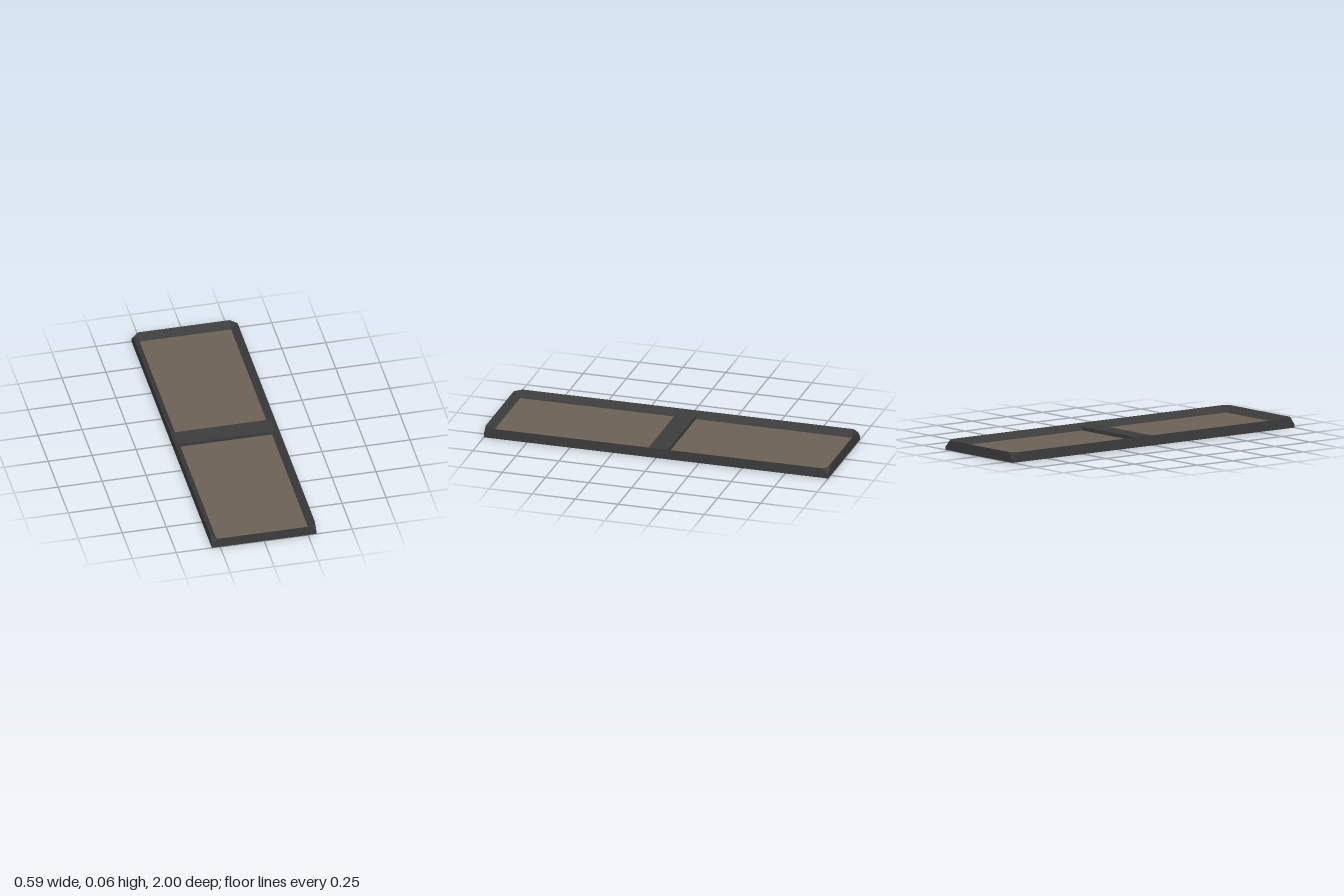
import * as THREE from 'three';

const W = 0.297, L = 1, H = 0.057; // half width, half length, rim height
const C = 0.037;                   // bevel size, also used for the cut corners

export function createModel() {
  const group = new THREE.Group();
  group.name = 'tray';
  const charcoal = new THREE.MeshStandardMaterial({ color: 0x3c3c3c });
  charcoal.name = 'charcoal';
  const brown = new THREE.MeshStandardMaterial({ color: 0x6b6056 });
  brown.name = 'brown';

  // Points of one corner, mirrored by the signs sx and sz
  const corner = (sx, sz) => {
    const p = (x, y, z) => [sx * x, y, sz * z];
    return {
      base: p(W, 0, L),
      low: p(W, H - C, L),
      end: p(W - C, H, L),
      side: p(W, H, L - C),
      inner: p(W - C, H - C, L - C),
    };
  };

  // Flat mesh from convex polygons, each cut into a fan
  const addFaces = (name, polygons, material) => {
    const pos = [];
    for (const f of polygons)
      for (let i = 1; i < f.length - 1; i++) pos.push(...f[0], ...f[i], ...f[i + 1]);
    const geo = new THREE.BufferGeometry();
    geo.setAttribute('position', new THREE.Float32BufferAttribute(pos, 3));
    geo.computeVertexNormals();
    const mesh = new THREE.Mesh(geo, material);
    mesh.name = name;
    group.add(mesh);
  };
  const turn = (f, sign) => (sign < 0 ? f.reverse() : f);

  const nn = corner(-1, -1), pn = corner(1, -1), pp = corner(1, 1), np = corner(-1, 1);

  for (const s of [1, -1]) {
    // End wall: upright outside, sloping inside
    const a = corner(-1, s), b = corner(1, s);
    addFaces(s > 0 ? 'frontWall' : 'backWall', [
      turn([a.base, b.base, b.low, b.end, a.end, a.low], s),
      turn([a.inner, a.end, b.end, b.inner], s),
    ], charcoal);

    // Long side wall
    const f = corner(s, 1), r = corner(s, -1);
    addFaces(s > 0 ? 'leftWall' : 'rightWall', [
      turn([f.base, r.base, r.low, r.side, f.side, f.low], s),
      turn([r.inner, f.inner, f.side, r.side], s),
    ], charcoal);

    // Cut corners at both ends of this side
    for (const t of [1, -1]) {
      const c = corner(s, t);
      addFaces('cutCorner', [
        turn([c.end, c.low, c.side], s * t),
        turn([c.end, c.side, c.inner], s * t),
      ], charcoal);
    }
  }

  addFaces('underside', [[nn.base, pn.base, pp.base, np.base]], charcoal);
  addFaces('floorPanel', [[nn.inner, np.inner, pp.inner, pn.inner]], brown);

  // Crossbar resting on the floor between the sloping sides
  const bar = new THREE.Mesh(new THREE.BoxGeometry(0.558, 0.02, 0.113), charcoal);
  bar.name = 'crossbar';
  bar.position.set(0, H - C + 0.01, -0.001);
  group.add(bar);

  return group;
}
